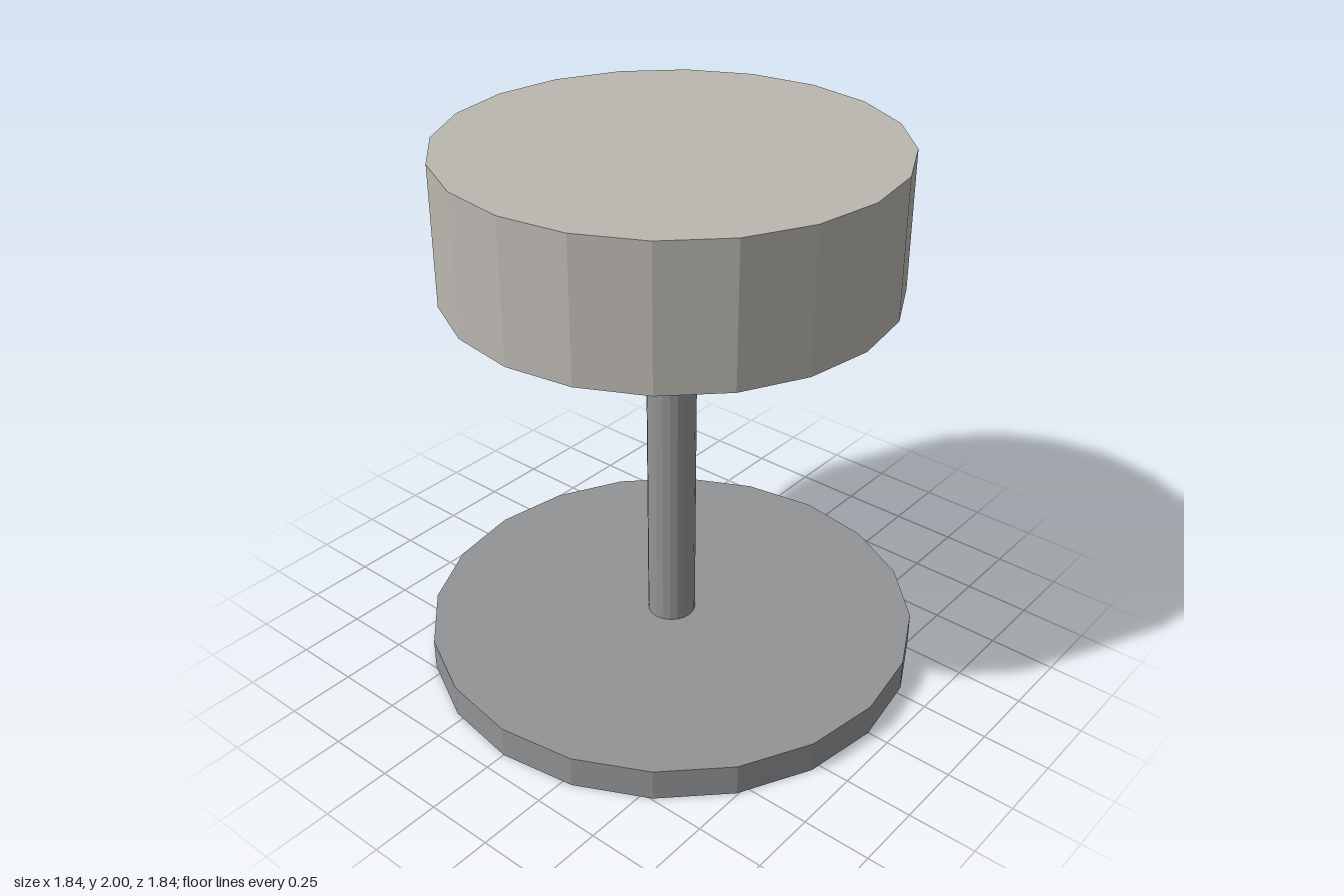
import * as THREE from 'three';

export function createModel() {
  const group = new THREE.Group();
  group.name = 'stool';

  const metal = new THREE.MeshStandardMaterial({ color: 0x929496, flatShading: true });
  metal.name = 'grey metal';
  const cushion = new THREE.MeshStandardMaterial({ color: 0xbab6af, flatShading: true });
  cushion.name = 'warm grey cushion';

  // upright 20-sided disc or post between two heights
  function addCylinder(name, radius, bottom, top, material) {
    const geometry = new THREE.CylinderGeometry(radius, radius, top - bottom, 20);
    const mesh = new THREE.Mesh(geometry, material);
    mesh.name = name;
    mesh.position.y = (bottom + top) / 2;
    group.add(mesh);
  }

  addCylinder('base', 0.92, 0, 0.12, metal);
  addCylinder('post', 0.09, 0.12, 1.5, metal);
  addCylinder('seat', 0.8, 1.5, 2, cushion);

  return group;
}
